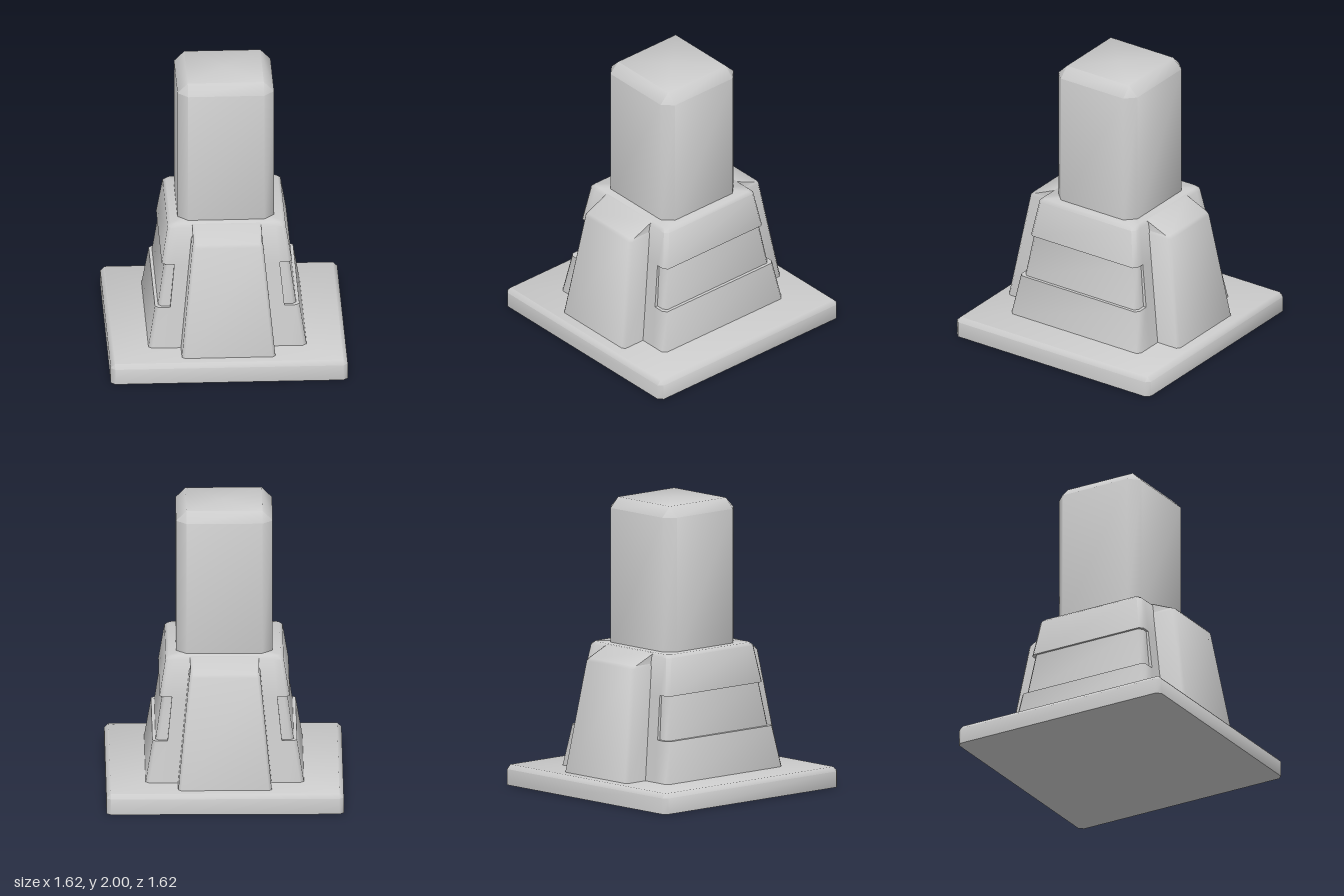
import * as THREE from 'three';
import { toCreasedNormals } from 'three/addons/utils/BufferGeometryUtils.js';

const material = new THREE.MeshStandardMaterial({ color: 0xcccccc });

// Skin a stack of equal-length rings (bottom to top) and cap both ends.
function loft(name, rings) {
  const pos = [];
  const tri = (a, b, c) => {
    const area = new THREE.Triangle(a, b, c).getArea();
    if (area > 1e-7) for (const p of [a, b, c]) pos.push(p.x, p.y, p.z);
  };
  const centre = (ring) => ring.reduce((s, p) => s.add(p), new THREE.Vector3()).divideScalar(ring.length);
  const n = rings[0].length;
  const bottom = rings[0], top = rings[rings.length - 1];
  const cb = centre(bottom), ct = centre(top);
  for (let i = 0; i < n; i++) {
    const j = (i + 1) % n;
    for (let r = 0; r < rings.length - 1; r++) {
      const lo = rings[r], hi = rings[r + 1];
      tri(lo[i], hi[i], lo[j]);
      tri(lo[j], hi[i], hi[j]);
    }
    tri(cb, bottom[i], bottom[j]);
    tri(ct, top[j], top[i]);
  }
  const geo = new THREE.BufferGeometry();
  geo.setAttribute('position', new THREE.Float32BufferAttribute(pos, 3));
  const mesh = new THREE.Mesh(toCreasedNormals(geo, 0.95), material);
  mesh.name = name;
  return mesh;
}

// Mirror a quarter outline (from +x round to +z) into a full ring at height y.
function ring(y, quarter) {
  const back = [...quarter].reverse();
  const place = (pts, sx, sz) => pts.map(([x, z]) => new THREE.Vector3(x * sx, y, z * sz));
  return [...place(quarter, 1, 1), ...place(back, -1, 1), ...place(quarter, -1, -1), ...place(back, 1, -1)];
}

// Square with cut corners.
const square = (y, h, c) => ring(y, [[h, h - c], [h - c, h]]);

// Pedestal section: d sets back the side and the corner as far in as x = nx.
function bodyRing(y, d = 0, inset = 0) {
  const h = 0.54 - 0.163 * (y - 0.14) - inset;
  const nx = 0.39 - 0.1 * (y - 0.425) - inset;
  const c = 0.025, s = h - d;
  return ring(y, [[s, s - c], [s - c, s], [nx, s], [nx, h]]);
}

// Buttress section: half width w, front at z = f, root buried in the pedestal.
function ribRing(y, w, f, c = 0.02) {
  return [[w, 0.3], [w, f - c], [w - c, f], [-w + c, f], [-w, f - c], [-w, 0.3]]
    .map(([x, z]) => new THREE.Vector3(x, y, z));
}

export function createModel() {
  const model = new THREE.Group();
  model.name = 'pedestalPost';

  // Bevelled plate at the foot
  model.add(loft('basePlate', [square(0, 0.81, 0.03), square(0.11, 0.81, 0.03), square(0.14, 0.78, 0)]));

  // Tapered pedestal with a recessed band on each side
  model.add(loft('pedestal', [
    bodyRing(0.13), bodyRing(0.425), bodyRing(0.425, 0.022),
    bodyRing(0.725, 0.016), bodyRing(0.725), bodyRing(0.98), bodyRing(1, 0, 0.018),
  ]));

  // Front and back buttresses with sloping tops
  for (const [name, angle] of [['frontButtress', 0], ['backButtress', Math.PI]]) {
    const rib = loft(name, [
      ribRing(0.13, 0.32, 0.716), ribRing(0.905, 0.243, 0.587),
      ribRing(0.925, 0.235, 0.57), ribRing(0.998, 0.235, 0.4),
    ]);
    rib.rotation.y = angle;
    model.add(rib);
  }

  // Square post with softened edges
  model.add(loft('post', [square(0.95, 0.33, 0.07), square(1.93, 0.33, 0.07), square(2, 0.26, 0)]));

  return model;
}
